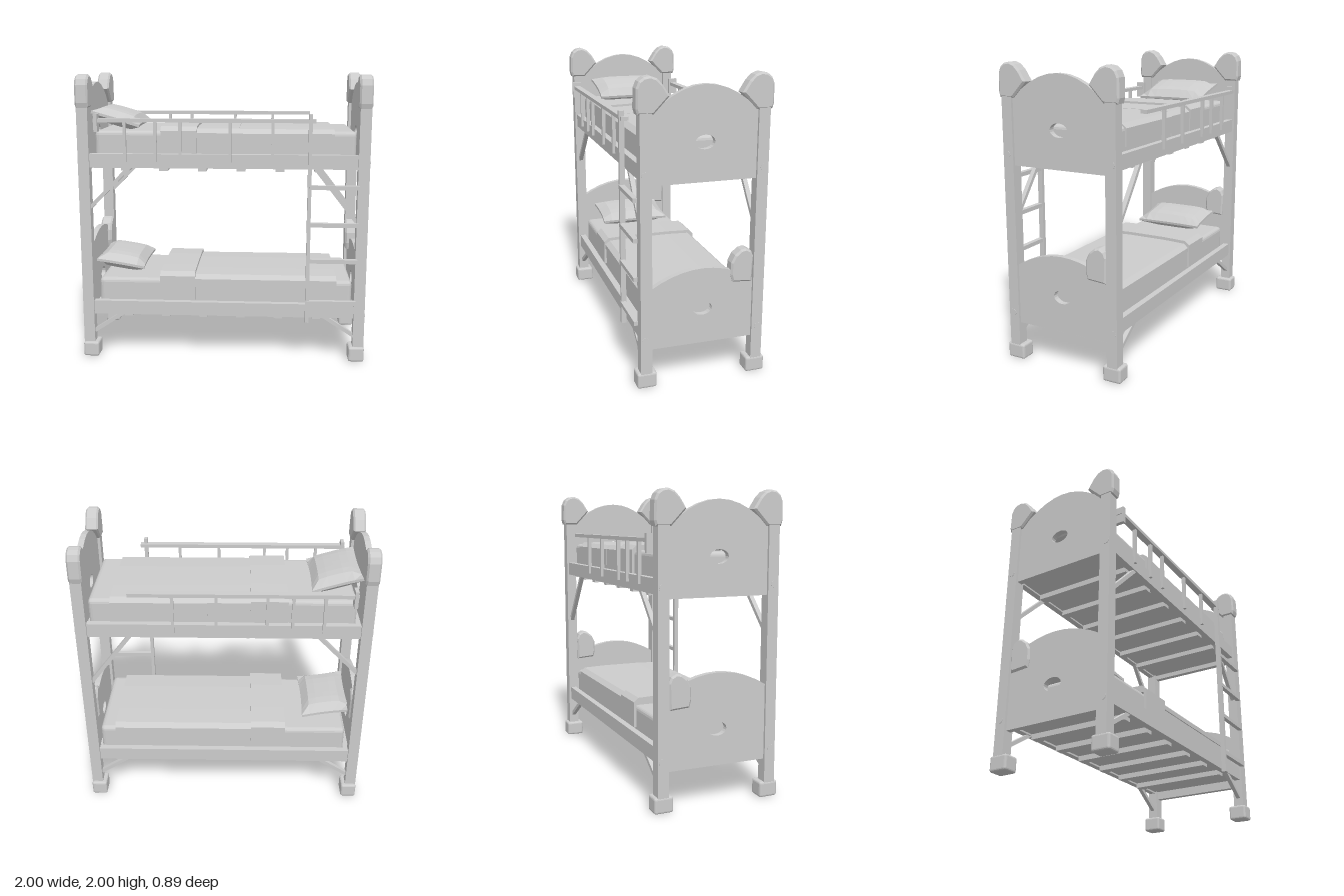
import * as THREE from 'three';
import { RoundedBoxGeometry } from 'three/addons/geometries/RoundedBoxGeometry.js';

const material = new THREE.MeshStandardMaterial({ color: 0xcccccc, flatShading: true });

function add(parent, name, geometry) {
  const mesh = new THREE.Mesh(geometry, material);
  mesh.name = name;
  parent.add(mesh);
  return mesh;
}

// Box given by its min and max on each axis
function box(parent, name, x0, x1, y0, y1, z0, z1, radius = 0) {
  const size = [x1 - x0, y1 - y0, z1 - z0];
  const g = radius ? new RoundedBoxGeometry(...size, 2, radius) : new THREE.BoxGeometry(...size);
  return add(parent, name, g.translate((x0 + x1) / 2, (y0 + y1) / 2, (z0 + z1) / 2));
}

// Profile drawn in (z, y), extruded along x
function extrudeX(parent, name, shape, x0, x1, bevel = 0) {
  const g = new THREE.ExtrudeGeometry(shape, {
    depth: x1 - x0 - 2 * bevel, curveSegments: 10, bevelEnabled: bevel > 0,
    bevelSize: bevel, bevelThickness: bevel, bevelOffset: -bevel, bevelSegments: 1,
  });
  return add(parent, name, g.rotateY(-Math.PI / 2).translate(x1 - bevel, 0, 0));
}

const polygon = (points) => new THREE.Shape(points.map(([a, b]) => new THREE.Vector2(a, b)));

// End board: arched top with an oval hand hole
function endBoard(parent, name, side, y0, edge, peak, holeY) {
  const s = new THREE.Shape();
  s.moveTo(-0.345, y0);
  s.lineTo(0.345, y0);
  s.lineTo(0.345, edge);
  s.quadraticCurveTo(0, 2 * peak - edge, -0.345, edge);
  s.closePath();
  const hole = new THREE.Path();
  hole.absellipse(0, holeY, 0.065, 0.045, 0, Math.PI * 2, true);
  s.holes.push(hole);
  const [a, b] = side > 0 ? [0.94, 0.98] : [-0.98, -0.94];
  extrudeX(parent, name, s, a, b);
}

// Blanket band: an upside-down U over the mattress
function blanket(parent, name, x0, x1, top, hem, half) {
  const t = 0.02, c = 0.035;
  extrudeX(parent, name, polygon([
    [-half, hem], [-half, top - c], [-half + c, top - 0.006], [-0.15, top], [0.15, top],
    [half - c, top - 0.006], [half, top - c], [half, hem],
    [half - t, hem], [half - t, top - c - t], [-half + t, top - c - t], [-half + t, hem],
  ]), x0, x1);
}

// Pillow: a box thinned towards its seams
function pillow(parent, x, y, tilt) {
  const w = 0.35, h = 0.12, d = 0.53;
  const g = new THREE.BoxGeometry(w, h, d, 6, 2, 8);
  const p = g.attributes.position;
  for (let i = 0; i < p.count; i++) {
    const u = p.getX(i) / (w / 2), v = p.getZ(i) / (d / 2);
    const puff = Math.sqrt((1 - u ** 4) * (1 - v ** 4));
    p.setY(i, p.getY(i) * (0.15 + 0.85 * puff));
    p.setX(i, p.getX(i) * (0.95 + 0.05 * v * v));
    p.setZ(i, p.getZ(i) * (0.96 + 0.04 * u * u));
  }
  g.computeVertexNormals();
  const mesh = add(parent, 'pillow', g);
  mesh.position.set(x, y, 0.005);
  mesh.rotation.z = tilt;
}

// Diagonal brace between two points in the plane z
function brace(parent, x0, y0, x1, y1, z) {
  const g = new THREE.BoxGeometry(Math.hypot(x1 - x0, y1 - y0), 0.026, 0.03);
  const mesh = add(parent, 'cornerBrace', g);
  mesh.position.set((x0 + x1) / 2, (y0 + y1) / 2, z);
  mesh.rotation.z = Math.atan2(y1 - y0, x1 - x0);
}

// Rails, slats and mattress of one bunk; y is the rail's lower edge
function bunk(parent, name, y) {
  const g = new THREE.Group();
  g.name = name;
  parent.add(g);
  for (const s of [-1, 1]) {
    const z = s * 0.38;
    box(g, 'sideRail', -0.93, 0.93, y, y + 0.097, z - 0.022, z + 0.022);
  }
  for (let i = 0; i < 6; i++) {
    const x = -0.68 + i * 0.268;
    box(g, 'slat', x - 0.03, x + 0.03, y - 0.025, y + 0.012, -0.36, 0.36);
  }
  box(g, 'bedBase', -0.94, 0.94, y + 0.012, y + 0.035, -0.36, 0.36);
  box(g, 'mattress', -0.89, 0.91, y + 0.03, y + 0.25, -0.345, 0.345, 0.03);
  return g;
}

export function createModel() {
  const model = new THREE.Group();
  model.name = 'bunkBed';

  // Posts with feet, rounded finials and bolt heads
  for (const sx of [-1, 1]) {
    const span = (a, b) => (sx > 0 ? [a, b] : [-b, -a]);
    for (const sz of [-1, 1]) {
      const zs = (a, b) => (sz > 0 ? [a, b] : [-b, -a]);
      box(model, 'post', ...span(0.92, 0.997), 0.05, 1.8, ...zs(0.342, 0.417));
      box(model, 'foot', ...span(0.89, 1), 0, 0.105, ...zs(0.31, 0.44), 0.015);
      const finial = [[0.33, 1.775], [0.43, 1.775], [0.44, 1.81], [0.437, 1.93], [0.42, 1.97],
        [0.39, 1.993], [0.35, 2], [0.31, 1.985], [0.275, 1.95], [0.23, 1.88]];
      extrudeX(model, 'finial', polygon(finial.map(([z, y]) => [sz * z, y])), ...span(0.91, 1), 0.012);
      for (const y of [0.33, 1.41]) {
        const bolt = new THREE.CylinderGeometry(0.024, 0.024, 0.012, 10).rotateZ(Math.PI / 2);
        add(model, 'bolt', bolt).position.set(sx * 0.994, y, sz * 0.387);
      }
    }
    // Rounded knob on the back corner of the lower board
    extrudeX(model, 'lowerKnob', polygon([[-0.335, 0.65], [-0.2, 0.66], [-0.187, 0.71], [-0.19, 0.79],
      [-0.215, 0.84], [-0.255, 0.872], [-0.29, 0.88], [-0.325, 0.86], [-0.342, 0.82]]),
    ...span(0.91, 0.995), 0.012);
    endBoard(model, 'upperEndBoard', sx, 1.34, 1.77, 1.94, 1.59);
    const drop = sx > 0 ? 0.09 : 0;
    endBoard(model, 'lowerEndBoard', sx, 0.26, 0.76 - drop, 0.865 - drop, 0.5);
  }

  // Bunks with bedding
  const upper = bunk(model, 'upperBunk', 1.365);
  blanket(upper, 'foldedBlanket', -0.43, -0.18, 1.653, 1.46, 0.362);
  blanket(upper, 'blanketTop', -0.18, 0.11, 1.638, 1.46, 0.354);
  blanket(upper, 'blanket', 0.11, 0.76, 1.636, 1.485, 0.358);
  pillow(upper, -0.76, 1.69, -0.28);

  const lower = bunk(model, 'lowerBunk', 0.31);
  blanket(lower, 'foldedBlanket', -0.45, -0.2, 0.62, 0.41, 0.362);
  blanket(lower, 'blanket', -0.2, 0.8, 0.598, 0.53, 0.352);
  pillow(lower, -0.75, 0.645, -0.16);

  // Corner braces and guard rails on both long sides
  for (const s of [-1, 1]) {
    const z = s * 0.38;
    brace(model, -0.93, 1.08, -0.64, 1.375, z);
    brace(model, 0.93, 0.99, 0.63, 1.375, z);
    brace(model, -0.93, 0.175, -0.7, 0.325, z);
    brace(model, 0.93, 0.175, 0.7, 0.325, z);

    const guard = new THREE.Group();
    guard.name = s > 0 ? 'frontGuardRail' : 'backGuardRail';
    model.add(guard);
    const c = s * 0.408;
    box(guard, 'topBar', -0.88, 0.63, 1.68, 1.705, c - 0.024, c + 0.024);
    box(guard, 'endBlock', -0.875, -0.85, 1.615, 1.735, c - 0.034, c + 0.034);
    for (const x of [-0.67, -0.46, -0.29, 0.05, 0.34]) {
      box(guard, 'baluster', x - 0.01, x + 0.01, 1.41, 1.69, c - 0.012, c + 0.012);
    }
  }

  // Ladder: one stile, with rungs running to the front post
  const ladder = new THREE.Group();
  ladder.name = 'ladder';
  model.add(ladder);
  box(ladder, 'stile', 0.58, 0.605, 0.285, 1.74, 0.405, 0.44);
  for (const y of [0.43, 0.73, 0.985, 1.245]) {
    box(ladder, 'rung', 0.59, 0.93, y - 0.014, y + 0.014, 0.41, 0.444);
  }
  return model;
}
